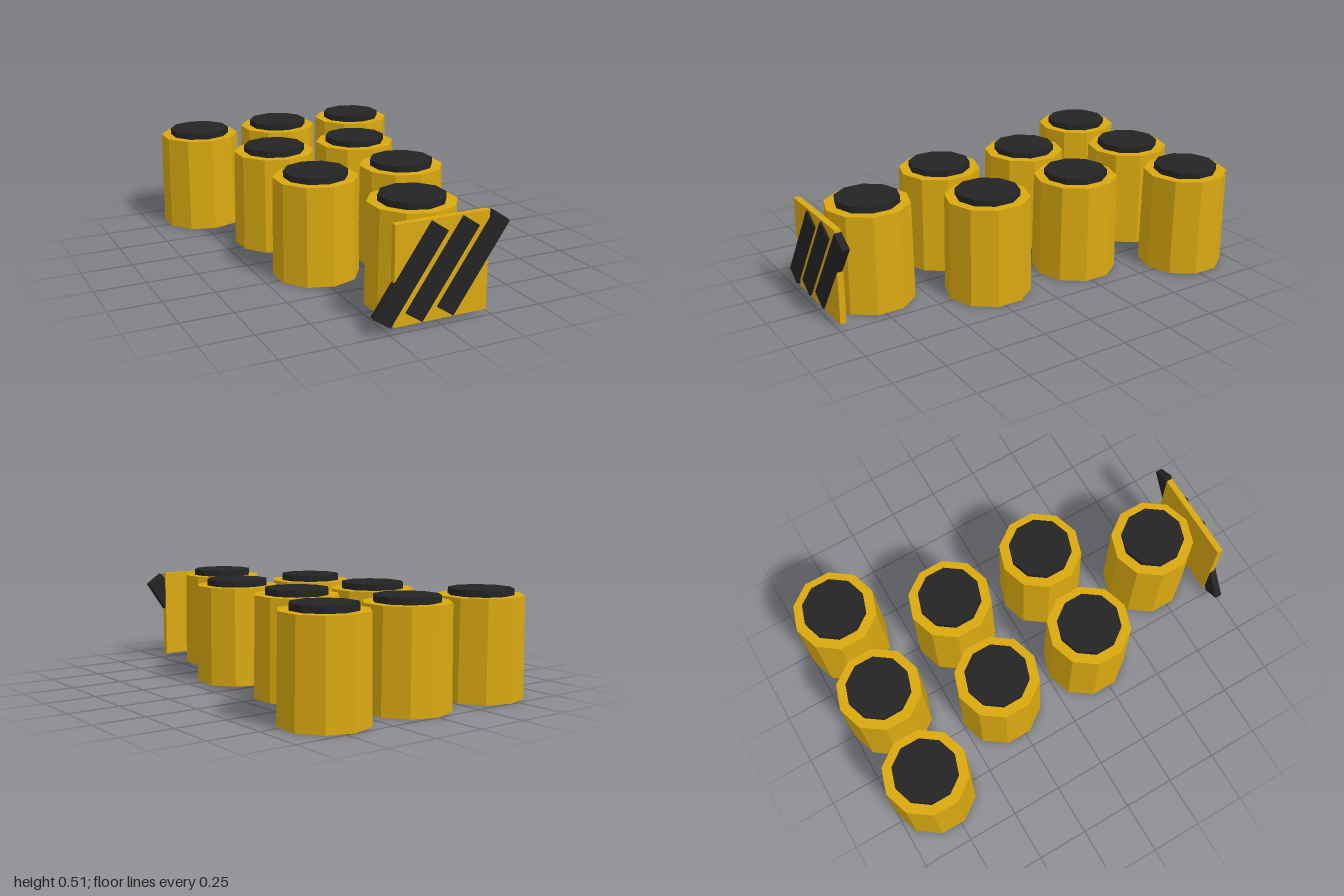
import * as THREE from 'three';

export function createModel() {
  const yellow = new THREE.MeshStandardMaterial({ color: 0xdaa910, flatShading: true });
  yellow.name = 'barrel yellow';
  const black = new THREE.MeshStandardMaterial({ color: 0x242424, flatShading: true });
  black.name = 'lid black';

  const model = new THREE.Group();
  model.name = 'barrelFormation';

  const add = (parent, name, geometry, material, x, y, z) => {
    const mesh = new THREE.Mesh(geometry, material);
    mesh.name = name;
    mesh.position.set(x, y, z);
    parent.add(mesh);
    return mesh;
  };

  // Ten-sided tapered barrels with raised lids, in rows from back to front
  const bodyGeometry = new THREE.CylinderGeometry(0.202, 0.208, 0.48, 10);
  const lidGeometry = new THREE.CylinderGeometry(0.153, 0.153, 0.03, 10);
  const rows = [
    { z: -0.792, xs: [-0.455, 0, 0.455] },
    { z: -0.287, xs: [-0.2275, 0.2275] },
    { z: 0.219, xs: [-0.2275, 0.2275] },
    { z: 0.725, xs: [0] },
  ];
  for (const { z, xs } of rows) {
    for (const x of xs) {
      const barrel = new THREE.Group();
      barrel.name = 'barrel';
      barrel.position.set(x, 0, z);
      add(barrel, 'barrelBody', bodyGeometry, yellow, 0, 0.24, 0);
      add(barrel, 'barrelLid', lidGeometry, black, 0, 0.495, 0);
      model.add(barrel);
    }
  }

  // Warning panel with three slanted bars in front of the first barrel
  const panel = new THREE.Group();
  panel.name = 'warningPanel';
  panel.position.set(0, 0.2525, 0);
  add(panel, 'panelBoard', new THREE.BoxGeometry(0.455, 0.455, 0.03), yellow, 0, 0, 0.975);
  const barGeometry = new THREE.BoxGeometry(0.094, 0.474, 0.035);
  for (const x of [-0.152, 0, 0.152]) {
    add(panel, 'hazardBar', barGeometry, black, x, 0, 0.9825).rotation.z = -0.6;
  }
  model.add(panel);

  return model;
}
